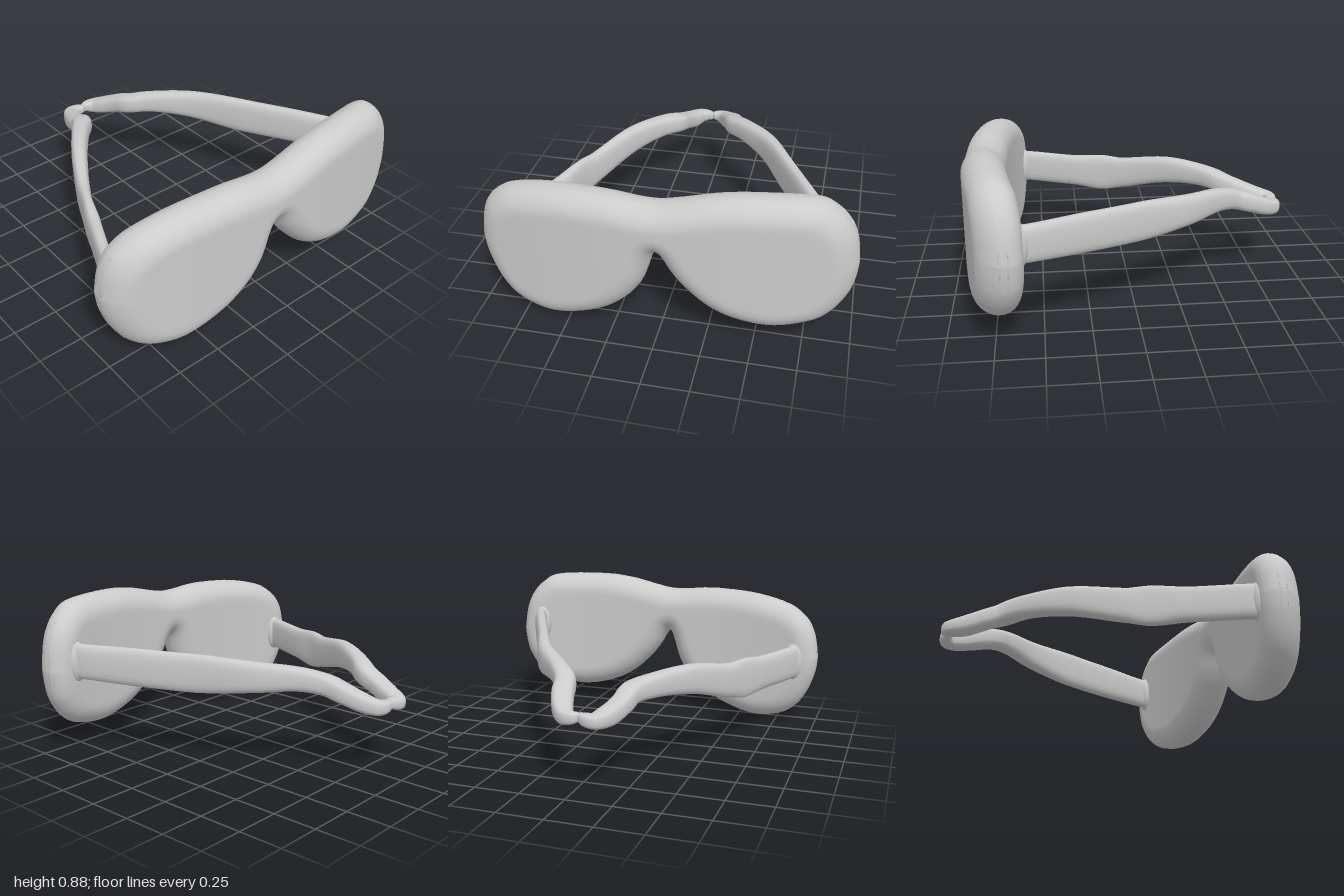
import * as THREE from 'three';
import { mergeVertices } from 'three/addons/utils/BufferGeometryUtils.js';

const material = new THREE.MeshStandardMaterial({ color: 0xcccccc });

function makeMesh(name, positions, indices) {
  let geometry = new THREE.BufferGeometry();
  geometry.setAttribute('position', new THREE.Float32BufferAttribute(positions, 3));
  geometry.setIndex(indices);
  geometry = mergeVertices(geometry, 1e-5);
  geometry.computeVertexNormals();
  const mesh = new THREE.Mesh(geometry, material);
  mesh.name = name;
  return mesh;
}

const spline = (pts) => new THREE.SplineCurve(pts.map(([x, y]) => new THREE.Vector2(x, y)));

// Upper and lower edges of the tilted double-lobed front, from -x to +x
const topEdge = spline([
  [-1, 0.42], [-0.985, 0.53], [-0.96, 0.61], [-0.91, 0.68], [-0.8, 0.75], [-0.58, 0.8],
  [-0.3, 0.815], [-0.1, 0.8], [0, 0.8], [0.1, 0.82], [0.3, 0.865], [0.5, 0.88],
  [0.77, 0.87], [0.87, 0.82], [0.94, 0.74], [0.98, 0.64], [1, 0.5],
]);
const bottomEdge = spline([
  [-1, 0.42], [-0.985, 0.32], [-0.94, 0.2], [-0.87, 0.1], [-0.77, 0.035], [-0.62, 0.005],
  [-0.47, 0.03], [-0.3, 0.1], [-0.17, 0.2], [-0.09, 0.31], [-0.055, 0.4], [-0.035, 0.47],
  [-0.01, 0.52], [0.02, 0.49], [0.06, 0.42], [0.13, 0.33], [0.25, 0.22], [0.4, 0.145],
  [0.6, 0.11], [0.8, 0.15], [0.9, 0.22], [0.965, 0.32], [0.99, 0.41], [1, 0.5],
]);

// Front: a padded slab with fully rounded rim, curved back towards its ends
function buildFront() {
  const top = topEdge.getSpacedPoints(500);
  const outline = [...top, ...bottomEdge.getSpacedPoints(600)];
  const columns = bottomEdge.getSpacedPoints(130);
  const rows = 40, half = 0.12, rim = 0.125;

  const topAt = (x) => {
    const k = Math.max(1, top.findIndex((p) => p.x >= x - 1e-9));
    const a = top[k - 1], b = top[k];
    const t = THREE.MathUtils.clamp((x - a.x) / (b.x - a.x || 1), 0, 1);
    return a.y + (b.y - a.y) * t;
  };
  const edgeDistance = (x, y) => {
    let best = Infinity;
    for (const p of outline) best = Math.min(best, (p.x - x) ** 2 + (p.y - y) ** 2);
    return Math.sqrt(best);
  };

  const positions = [], indices = [];
  const last = columns.length - 1;
  const sheet = (last + 1) * (rows + 1);
  const back = [];
  columns.forEach(({ x, y: low }, i) => {
    const high = i === 0 || i === last ? low : topAt(x);
    for (let j = 0; j <= rows; j++) {
      const y = low + (high - low) * (1 - Math.cos((Math.PI * j) / rows)) / 2;
      const onEdge = j === 0 || j === rows || i === 0 || i === last;
      const d = onEdge ? 0 : Math.min(edgeDistance(x, y) / rim, 1);
      const thick = half * Math.sqrt(1 - (1 - d) ** 2);
      const middle = 0.81 - 0.13 * x * x;
      positions.push(x, y, middle + thick);
      back.push(x, y, middle - thick);
      if (i < last && j < rows) {
        const a = i * (rows + 1) + j, b = a + rows + 1;
        indices.push(a, b, b + 1, a, b + 1, a + 1);
        const c = a + sheet, e = b + sheet;
        indices.push(c, e + 1, e, c, c + 1, e + 1);
      }
    }
  });
  return makeMesh('frontFrame', positions.concat(back), indices);
}

// Arm: soft-cornered section lofted along stations [x, y, z, half width, half height]
function buildArm(name, stations) {
  const path = new THREE.CatmullRomCurve3(stations.map((s) => new THREE.Vector3(s[0], s[1], s[2])));
  const size = new THREE.CatmullRomCurve3(stations.map((s) => new THREE.Vector3(s[3], s[4], 0)));
  const rings = 72, sides = 20, up = new THREE.Vector3(0, 1, 0);
  const positions = [], indices = [];
  const soften = (v) => Math.sign(v) * Math.abs(v) ** 0.7;
  for (let i = 0; i <= rings; i++) {
    const t = i / rings;
    const p = path.getPoint(t), s = size.getPoint(t);
    const side = path.getTangent(t).cross(up).normalize();
    const closed = i === 0 || i === rings ? 0 : 1;
    for (let j = 0; j < sides; j++) {
      const a = (j / sides) * Math.PI * 2;
      const w = soften(Math.cos(a)) * s.x * closed, h = soften(Math.sin(a)) * s.y * closed;
      positions.push(p.x + side.x * w, p.y + h, p.z + side.z * w);
      if (i < rings) {
        const k = (j + 1) % sides, n = i * sides, m = n + sides;
        indices.push(n + j, m + j, m + k, n + j, m + k, n + k);
      }
    }
  }
  return makeMesh(name, positions, indices);
}

// Hinge pad where an arm meets the front
function buildHinge(name, x, y) {
  const hinge = new THREE.Mesh(new THREE.SphereGeometry(1, 24, 16), material);
  hinge.scale.set(0.06, 0.115, 0.045);
  hinge.position.set(x, y, 0.605);
  hinge.name = name;
  return hinge;
}

export function createModel() {
  const group = new THREE.Group();
  group.name = 'glasses';
  group.add(buildFront());
  group.add(buildArm('leftArm', [
    [0.86, 0.55, 0.65, 0.035, 0.1],
    [0.83, 0.55, 0.55, 0.037, 0.1],
    [0.7, 0.54, 0.28, 0.038, 0.107],
    [0.56, 0.53, 0, 0.038, 0.108],
    [0.405, 0.53, -0.3, 0.046, 0.086],
    [0.24, 0.52, -0.5, 0.05, 0.065],
    [0.155, 0.49, -0.61, 0.058, 0.06],
    [0.13, 0.46, -0.7, 0.06, 0.058],
    [0.09, 0.418, -0.8, 0.056, 0.053],
    [0.045, 0.395, -0.87, 0.045, 0.042],
    [0, 0.395, -0.885, 0.033, 0.033],
    [-0.035, 0.4, -0.87, 0.02, 0.02],
  ]));
  group.add(buildArm('rightArm', [
    [-0.88, 0.41, 0.65, 0.035, 0.1],
    [-0.845, 0.41, 0.55, 0.037, 0.1],
    [-0.73, 0.41, 0.28, 0.038, 0.1],
    [-0.61, 0.42, 0, 0.038, 0.1],
    [-0.44, 0.485, -0.3, 0.046, 0.083],
    [-0.3, 0.49, -0.5, 0.052, 0.065],
    [-0.215, 0.47, -0.61, 0.06, 0.06],
    [-0.195, 0.435, -0.7, 0.058, 0.056],
    [-0.16, 0.4, -0.8, 0.055, 0.053],
    [-0.115, 0.388, -0.88, 0.048, 0.04],
    [-0.07, 0.392, -0.885, 0.035, 0.033],
    [-0.025, 0.4, -0.865, 0.02, 0.02],
  ]));
  group.add(buildHinge('leftHinge', 0.845, 0.545));
  group.add(buildHinge('rightHinge', -0.86, 0.41));
  return group;
}
